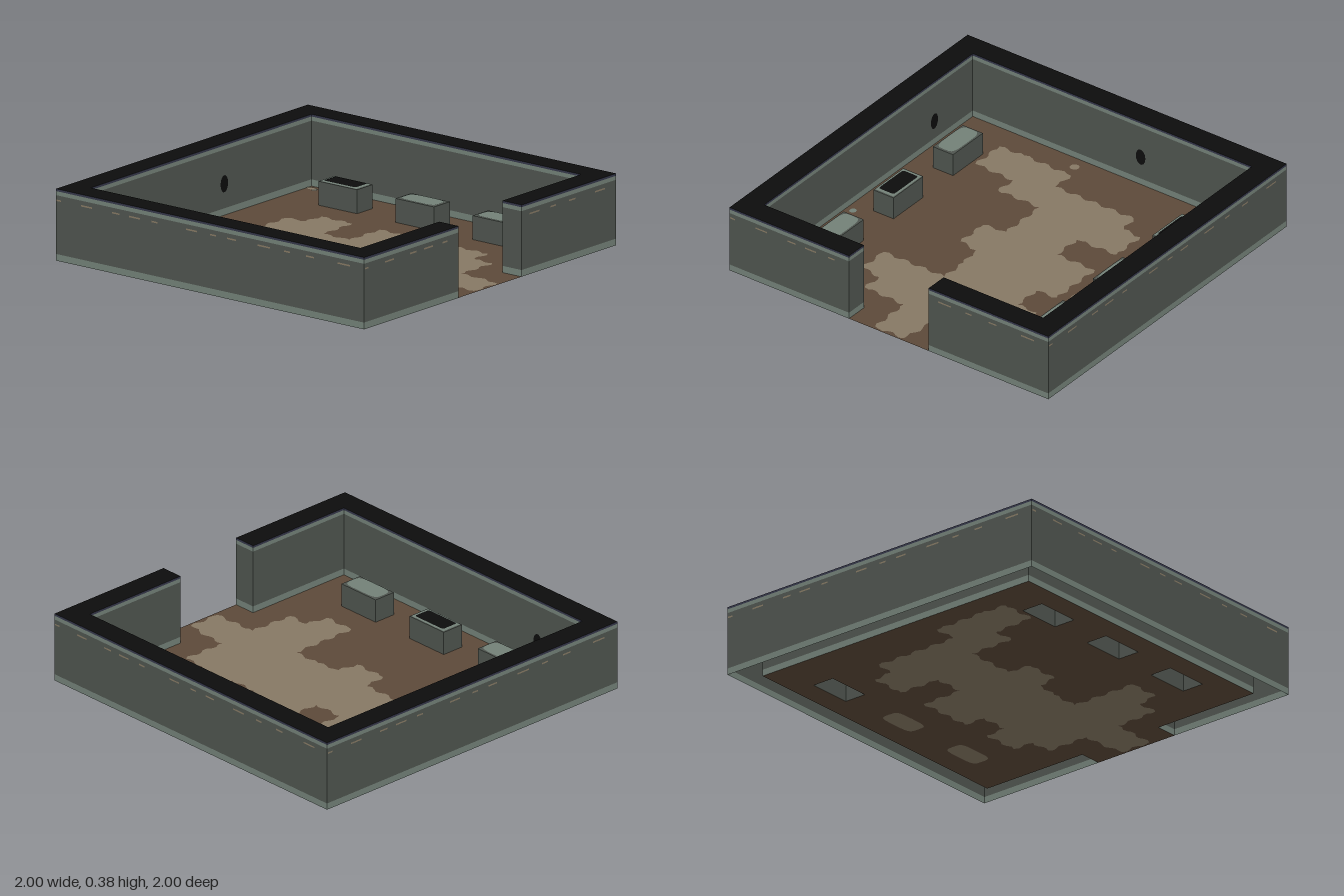
import * as THREE from 'three';
import { mergeGeometries } from 'three/addons/utils/BufferGeometryUtils.js';

const mat = (name, color) => {
  const m = new THREE.MeshStandardMaterial({ color, side: THREE.DoubleSide });
  m.name = name;
  return m;
};

export function createModel() {
  const stone = mat('wallStone', 0x4e544e);
  const trim = mat('paleTrim', 0x728077);
  const edge = mat('duskEdge', 0x35374a);
  const black = mat('black', 0x0c0c0c);
  const earth = mat('earth', 0x5c4939);
  const sand = mat('sand', 0x857863);

  const root = new THREE.Group();
  root.name = 'walledRoom';
  const add = (name, geo, material, parent = root) => {
    const m = new THREE.Mesh(geo, material);
    m.name = name;
    parent.add(m);
    return m;
  };

  // Points are [x, z] pairs on the ground plan
  const toV = pts => pts.map(([x, z]) => new THREE.Vector2(x, -z));
  const flat = (pts, y, holes = []) => {
    const s = new THREE.Shape(toV(pts));
    s.holes = holes.map(h => new THREE.Path(toV(h)));
    return new THREE.ShapeGeometry(s).rotateX(-Math.PI / 2).translate(0, y, 0);
  };
  // Upright strip following a closed outline that has its solid side on the right
  const band = (pts, y0, y1) => mergeGeometries(pts.map(([x, z], i) => {
    const [u, w] = pts[(i + 1) % pts.length];
    return new THREE.PlaneGeometry(Math.hypot(u - x, w - z), y1 - y0)
      .rotateY(Math.atan2(w - z, -(u - x)))
      .translate((x + u) / 2, (y0 + y1) / 2, (z + w) / 2);
  }));
  const rect = (cx, cz, w, d) => [[cx - w / 2, cz - d / 2], [cx + w / 2, cz - d / 2],
    [cx + w / 2, cz + d / 2], [cx - w / 2, cz + d / 2]];
  // Superellipse outline for rounded slabs and pebbles
  const blob = (cx, cz, rx, rz, p = 0.45, n = 24) => Array.from({ length: n }, (_, i) => {
    const a = i / n * Math.PI * 2, c = Math.cos(a), s = Math.sin(a);
    return [cx + Math.sign(c) * Math.abs(c) ** p * rx, cz + Math.sign(s) * Math.abs(s) ** p * rz];
  });

  // Walls: hollow, with a doorway at the front
  const H = 0.375, I = 0.875, D = 0.25;
  const plan = [[-1, -1], [1, -1], [1, 1], [D, 1], [D, I], [I, I], [I, -I],
    [-I, -I], [-I, I], [-D, I], [-D, 1], [-1, 1]];
  const walls = new THREE.Group();
  walls.name = 'walls';
  root.add(walls);
  add('wallBase', band(plan, 0, 0.035), trim, walls);
  add('wallFace', band(plan, 0.035, 0.342), stone, walls);
  add('wallUpperTrim', band(plan, 0.342, 0.363), trim, walls);
  add('wallTopEdge', band(plan, 0.363, H), edge, walls);
  add('wallTop', flat(plan, H), black, walls);

  // Broken sandy line below the upper trim on the outer sides
  const dashes = [[-0.98, 0.03], [-0.8, 0.07], [-0.61, 0.05], [-0.49, 0.07], [-0.36, 0.04],
    [-0.12, 0.07], [0.02, 0.04], [0.14, 0.06], [0.35, 0.08], [0.5, 0.04], [0.65, 0.05], [0.87, 0.08]];
  for (let side = 0; side < 4; side++) {
    const list = dashes.filter(([x]) => side > 0 || Math.abs(x) > D);
    const geo = mergeGeometries(list.map(([x, w]) =>
      new THREE.PlaneGeometry(w, 0.008).translate(x, 0.316, 1.001)));
    add('wallFleck', geo.rotateY(side * Math.PI / 2), sand, walls);
  }

  // Dark holes in the inner wall faces
  add('backWallHole', new THREE.CircleGeometry(1, 14).scale(0.03, 0.045, 1)
    .translate(0.18, 0.165, -I + 0.003), black);
  add('sideWallHole', new THREE.CircleGeometry(1, 14).scale(0.03, 0.045, 1)
    .rotateY(Math.PI / 2).translate(-I + 0.003, 0.14, -0.55), black);

  // Worn sandy path with a scalloped rim
  const pathPlan = [[-0.6, -0.73], [-0.45, -0.74], [-0.15, -0.73], [-0.15, -0.6], [0.34, -0.6],
    [0.36, -0.49], [0.47, -0.48], [0.47, -0.28], [0.23, -0.27], [0.23, -0.1], [0.47, -0.1],
    [0.47, 0.22], [0.35, 0.23], [0.35, 0.39], [0.47, 0.39], [0.47, 0.6], [0.35, 0.61],
    [0.35, 0.73], [0.1, 0.73], [0.1, 0.85], [0.08, 0.98], [-0.1, 0.98], [-0.11, 0.73],
    [-0.36, 0.72], [-0.36, 0.6], [-0.48, 0.58], [-0.48, 0.4], [-0.1, 0.4], [-0.1, 0.24],
    [-0.12, 0.11], [-0.23, 0.09], [-0.23, -0.1], [-0.1, -0.12], [-0.1, -0.4], [-0.36, -0.4],
    [-0.36, -0.52], [-0.6, -0.53]];
  const rim = [];
  pathPlan.forEach(([x, z], i) => {
    const [u, w] = pathPlan[(i + 1) % pathPlan.length];
    const len = Math.hypot(u - x, w - z), n = Math.max(1, Math.round(len / 0.025));
    for (let k = 0; k < n; k++) {
      const t = k / n, o = 0.012 * Math.sin(t * len * Math.PI * 2 / 0.11);
      rim.push([x + (u - x) * t + (w - z) / len * o, z + (w - z) * t - (u - x) / len * o]);
    }
  });
  add('sandyPath', flat(rim, 0), sand);

  // Stone chests along both sides
  const holes = [rim];
  for (const x of [-0.6875, 0.6875]) for (const z of [-0.5, 0, 0.5]) {
    const open = (x < 0 && z === 0) || (x > 0 && z < 0);
    const chest = new THREE.Group();
    chest.name = 'chest';
    root.add(chest);
    const foot = rect(x, z, 0.125, 0.25);
    add('chestSides', band(foot, 0, 0.125), stone, chest);
    add('chestTop', flat(foot, 0.125), stone, chest);
    if (open) {
      add('chestRim', flat(rect(x, z, 0.115, 0.235), 0.127), trim, chest);
      add('chestOpening', flat(blob(x, z, 0.048, 0.103, 0.15), 0.13), black, chest);
    } else {
      add('chestLid', flat(blob(x, z, 0.055, 0.115), 0.128), trim, chest);
    }
    // Two chests stand on sand, the others over a gap in the floor
    if (x > 0 && z >= 0) {
      const bed = blob(x, z, 0.058, 0.115);
      holes.push(bed);
      add('chestBed', flat(bed, 0), sand, chest);
    } else holes.push(foot);
  }

  // Earth floor, reaching out through the doorway
  const floorPlan = [[-I, -I], [I, -I], [I, I], [D, I], [D, 1], [-D, 1], [-D, I], [-I, I]];
  add('floor', flat(floorPlan, 0, holes), earth);

  // Loose pebbles on the floor
  const pebbles = [[-0.18, -0.8, 0.025, 0.025, sand], [0.83, -0.84, 0.02, 0.03, sand],
    [0.56, 0.1, 0.028, 0.045, sand], [0.545, 0.165, 0.02, 0.03, sand],
    [-0.83, 0.19, 0.018, 0.02, trim], [0.57, 0.82, 0.018, 0.018, trim], [0.82, -0.81, 0.018, 0.015, stone]];
  for (const [x, z, rx, rz, m] of pebbles) add('pebble', flat(blob(x, z, rx, rz, 0.9, 10), 0.004), m);

  return root;
}
